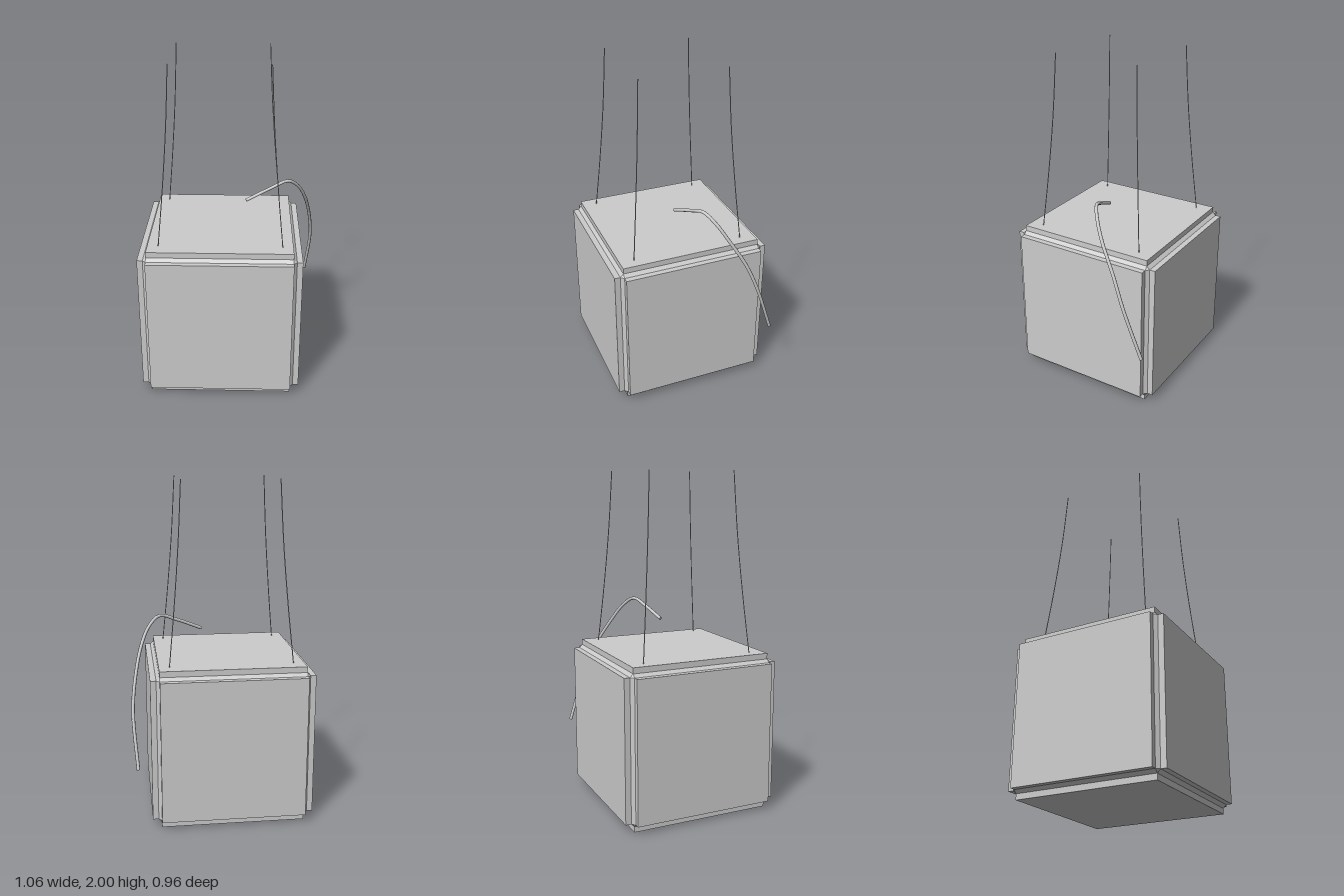
import * as THREE from 'three';
import { ConvexGeometry } from 'three/addons/geometries/ConvexGeometry.js';

const INNER = 0.424;  // half width of a panel
const BODY = 0.443;   // half width of the chamfered core
const OUTER = 0.477;  // half width over the panels
const material = new THREE.MeshStandardMaterial({ color: 0xcccccc });
const flatMaterial = new THREE.MeshStandardMaterial({ color: 0xcccccc, flatShading: true });

function named(mesh, name) {
  mesh.name = name;
  return mesh;
}

// Round cord through the points, closed at both ends
function cord(points, radius, segments, sides, name) {
  const group = new THREE.Group();
  group.name = name;
  const curve = new THREE.CatmullRomCurve3(points.map((p) => new THREE.Vector3(...p)));
  group.add(named(new THREE.Mesh(new THREE.TubeGeometry(curve, segments, radius, sides), material), name + 'Tube'));
  for (const t of [0, 1]) {
    const cap = named(new THREE.Mesh(new THREE.CircleGeometry(radius, sides), material), name + 'End');
    const end = curve.getPoint(t);
    cap.position.copy(end);
    cap.lookAt(end.clone().addScaledVector(curve.getTangent(t), t ? 1 : -1));
    group.add(cap);
  }
  return group;
}

export function createModel() {
  const model = new THREE.Group();
  model.name = 'hangingBox';

  const box = new THREE.Group();
  box.name = 'box';
  box.position.set(-0.055, OUTER, 0.002);
  model.add(box);

  // Core with chamfered edges and corners
  const corners = [];
  for (const sx of [-1, 1]) for (const sy of [-1, 1]) for (const sz of [-1, 1]) {
    for (let axis = 0; axis < 3; axis++) {
      const p = new THREE.Vector3(sx, sy, sz).multiplyScalar(INNER);
      p.setComponent(axis, Math.sign(p.getComponent(axis)) * BODY);
      corners.push(p);
    }
  }
  box.add(named(new THREE.Mesh(new ConvexGeometry(corners), flatMaterial), 'core'));

  // Raised square panel on each face
  const thickness = OUTER - BODY + 0.01;
  const panelNames = [['leftPanel', 'rightPanel'], ['topPanel', 'bottomPanel'], ['frontPanel', 'backPanel']];
  panelNames.forEach((pair, axis) => pair.forEach((name, i) => {
    const size = [INNER * 2, INNER * 2, INNER * 2];
    size[axis] = thickness;
    const panel = named(new THREE.Mesh(new THREE.BoxGeometry(...size), material), name);
    panel.position.setComponent(axis, (i ? -1 : 1) * (OUTER - thickness / 2));
    box.add(panel);
  }));

  // Four thin suspension wires, leaning inward as they rise
  for (const sx of [-1, 1]) for (const sz of [-1, 1]) {
    const at = (x, y, z) => [-0.054 + sx * x, y, 0.003 + sz * z];
    const points = [at(0.362, 0.94, 0.338), at(0.327, 1.3, 0.306), at(0.299, 1.65, 0.28), at(0.28, 2, 0.262)];
    model.add(cord(points, 0.003, 16, 6, 'suspensionWire'));
  }

  // Loose cable arching over the top and down past the back corner
  model.add(cord([
    [0.09, 1.1, 0], [0.24, 1.165, -0.04], [0.345, 1.2, -0.075], [0.41, 1.15, -0.122],
    [0.46, 1.05, -0.185], [0.502, 0.88, -0.285], [0.52, 0.7, -0.36], [0.5, 0.39, -0.47],
  ], 0.01, 48, 8, 'looseCable'));

  return model;
}
